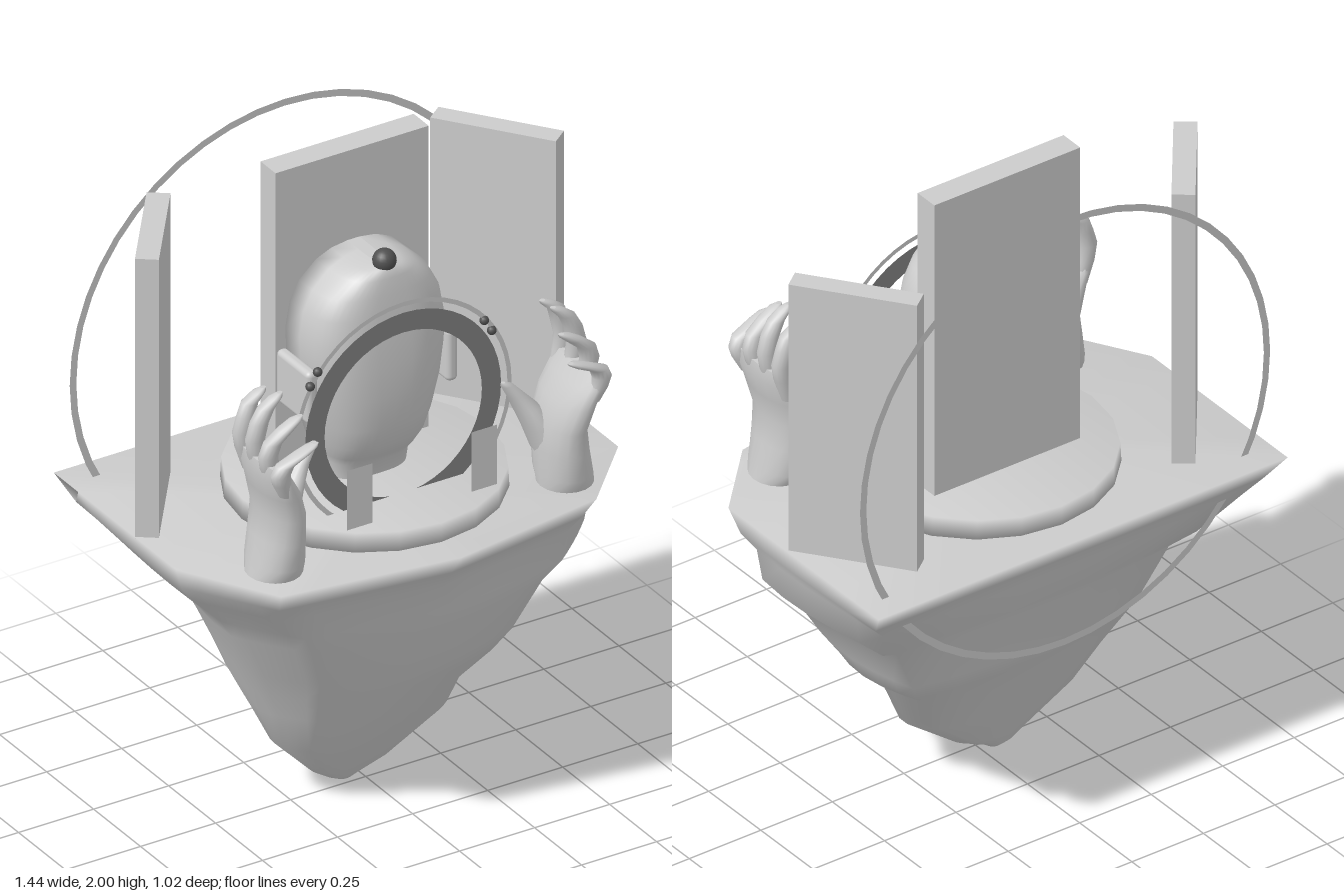
import * as THREE from 'three';
import { RoundedBoxGeometry } from 'three/addons/geometries/RoundedBoxGeometry.js';

const paint = color => new THREE.MeshStandardMaterial({ color, side: THREE.DoubleSide });
const grey = paint(0xcccccc), midGrey = paint(0x808080), dark = paint(0x505050);

// Skin over closed rings of [x, y, z] listed bottom to top; soft caps share the rim's normals
function loft(rings, soft = false) {
  const n = rings[0].length, pos = rings.flat(2), idx = [];
  for (let i = 0; i < rings.length - 1; i++) {
    for (let j = 0; j < n; j++) {
      const a = i * n + j, b = i * n + (j + 1) % n;
      idx.push(a, a + n, b, b, a + n, b + n);
    }
  }
  for (const top of [false, true]) {
    const last = top ? rings.length - 1 : 0, ring = rings[last];
    const base = soft ? last * n : pos.length / 3;
    if (!soft) pos.push(...ring.flat());
    const centre = pos.length / 3;
    pos.push(...[0, 1, 2].map(k => ring.reduce((s, p) => s + p[k], 0) / n));
    for (let j = 0; j < n; j++) {
      const a = base + j, b = base + (j + 1) % n;
      idx.push(centre, ...(top ? [b, a] : [a, b]));
    }
  }
  const g = new THREE.BufferGeometry();
  g.setAttribute('position', new THREE.Float32BufferAttribute(pos, 3));
  g.setIndex(idx);
  g.computeVertexNormals();
  return g;
}

// Horizontal ellipse
function oval(x, y, z, rx, rz, n = 14) {
  return Array.from({ length: n }, (_, j) => {
    const t = j / n * Math.PI * 2;
    return [x + rx * Math.cos(t), y, z + rz * Math.sin(t)];
  });
}

function rockGeometry() {
  const corners = [[0.71, -0.51], [0.71, 0.21], [0.5, 0.43], [0, 0.51], [-0.55, 0.43], [-0.72, 0.14], [-0.72, -0.51]];
  const outline = [];
  corners.forEach(([x, z], i) => {
    const [x2, z2] = corners[(i + 1) % corners.length];
    for (let k = 0; k < 5; k++) outline.push([(x + (x2 - x) * k / 5 + 0.005) / 0.715, (z + (z2 - z) * k / 5) / 0.51]);
  });
  // y, min x, max x, min z, max z, roundness
  const levels = [
    [0, -0.07, -0.03, -0.04, -0.02, 1], [0.02, -0.11, 0.0, -0.06, 0.0, 1], [0.06, -0.17, 0.09, -0.08, 0.03, 0.9],
    [0.19, -0.3, 0.26, -0.15, 0.12, 0.7], [0.33, -0.36, 0.32, -0.22, 0.2, 0.6], [0.42, -0.4, 0.43, -0.27, 0.25, 0.5],
    [0.5, -0.43, 0.48, -0.32, 0.3, 0.45], [0.66, -0.51, 0.56, -0.35, 0.365, 0.35], [0.72, -0.55, 0.64, -0.4, 0.385, 0.25],
    [0.82, -0.65, 0.65, -0.43, 0.41, 0.12], [0.88, -0.69, 0.69, -0.46, 0.45, 0.05], [0.96, -0.72, 0.71, -0.51, 0.51, 0]];
  return loft(levels.map(([y, x0, x1, z0, z1, round]) => outline.map(([u, v]) => {
    const len = Math.hypot(u, v), a = Math.atan2(v, u);
    const f = 1 + round * (1 / len - 1) + 0.03 * round * Math.sin(3 * a + y * 9);
    return [(x0 + x1) / 2 + u * f * (x1 - x0) / 2, y, (z0 + z1) / 2 + v * f * (z1 - z0) / 2];
  })), true);
}

function headGeometry() {
  // y, half width, front z
  const levels = [
    [1.02, 0.13, 0.07], [1.07, 0.133, 0.08], [1.1, 0.145, 0.105], [1.15, 0.163, 0.137], [1.22, 0.183, 0.155],
    [1.32, 0.208, 0.165], [1.42, 0.224, 0.165], [1.5, 0.227, 0.16], [1.58, 0.213, 0.153], [1.64, 0.181, 0.146],
    [1.69, 0.125, 0.138], [1.712, 0.075, 0.13], [1.72, 0.02, 0.12]];
  const back = -0.065;
  return loft(levels.map(([y, w, front]) => Array.from({ length: 25 }, (_, j) => {
    const t = j / 24 * Math.PI, c = Math.cos(t);
    return [w * Math.sign(c) * Math.abs(c) ** 0.7, y, back + (front - back) * Math.sin(t) ** 0.55];
  })));
}

function makeHand(side) {
  const hand = new THREE.Group();
  const part = (name, rows, n) => {
    const m = new THREE.Mesh(loft(rows.map(([x, y, z, rx, rz]) => oval(side * x, y, z, rx, rz, n))), grey);
    m.name = name;
    hand.add(m);
  };
  part('palm', [
    [0.485, 0.962, 0.285, 0.082, 0.088], [0.48, 1.0, 0.282, 0.078, 0.105], [0.472, 1.08, 0.28, 0.07, 0.112],
    [0.468, 1.16, 0.282, 0.06, 0.117], [0.49, 1.24, 0.29, 0.055, 0.125], [0.515, 1.3, 0.296, 0.043, 0.126],
    [0.527, 1.345, 0.297, 0.025, 0.115]], 18);
  part('thumb', [
    [0.45, 1.06, 0.25, 0.045, 0.07], [0.425, 1.14, 0.237, 0.047, 0.066], [0.39, 1.2, 0.227, 0.038, 0.048],
    [0.358, 1.245, 0.225, 0.027, 0.028], [0.328, 1.285, 0.227, 0.019, 0.018], [0.315, 1.297, 0.228, 0.006, 0.006]]);
  // Four fingers bowing outward, tips curling in: base z, tip z, tip height, tip x
  [[0.392, 0.412, 1.415, 0.42], [0.327, 0.345, 1.475, 0.43], [0.262, 0.27, 1.52, 0.45], [0.197, 0.197, 1.505, 0.46]]
    .forEach(([z0, z1, top, tip], i) => {
      const y0 = 1.26, row = (x, f, r) => [x, y0 + (top - y0) * f, z0 + (z1 - z0) * f, r * 1.1, r];
      part('finger' + (i + 1), [
        row(0.51, 0, 0.02), row(0.528, 0.3, 0.026), row(0.535, 0.5, 0.027), row(0.522, 0.7, 0.026),
        row(tip + 0.05, 0.86, 0.024), row(tip + 0.02, 0.96, 0.019), row(tip + 0.005, 1, 0.008)]);
    });
  return hand;
}

export function createModel() {
  const model = new THREE.Group();
  const add = (name, shape, x = 0, y = 0, z = 0, material = grey) => {
    const o = shape.isBufferGeometry ? new THREE.Mesh(shape, material) : shape;
    o.name = name;
    o.position.set(x, y, z);
    model.add(o);
    return o;
  };

  // Floating rock and round dais
  add('rock', rockGeometry());
  add('dais', loft([oval(0, 0.955, -0.005, 0.41, 0.41, 20), oval(0, 1.022, -0.005, 0.405, 0.41, 20)], true));

  // Upright slabs
  add('backSlab', new THREE.BoxGeometry(0.51, 1.04, 0.08), 0.005, 1.48, -0.12);
  add('rightSlab', new THREE.BoxGeometry(0.38, 0.91, 0.068), -0.578, 1.41, -0.21).rotation.y = 0.925;
  add('leftSlab', new THREE.BoxGeometry(0.38, 0.9, 0.065), 0.563, 1.405, -0.2).rotation.y = -0.925;

  // Faceless head with ear pieces and a bead on the brow
  add('head', headGeometry());
  for (const s of [-1, 1]) add('earPiece', new RoundedBoxGeometry(0.038, 0.17, 0.175, 3, 0.016), s * 0.233, 1.345, 0.008);
  add('browBead', new THREE.SphereGeometry(0.035, 20, 14), 0, 1.73, 0.1, dark);

  // Flat rings sharing one axis
  const ring = (name, inner, outer, z, material) => add(name, new THREE.RingGeometry(inner, outer, 48), 0, 1.28, z, material);
  ring('haloRing', 0.695, 0.717, -0.43, grey);
  ring('thinRing', 0.347, 0.361, 0.2, grey);
  ring('faceRing', 0.262, 0.326, 0.2, midGrey);
  for (const [x, y] of [[-0.31, 1.46], [-0.285, 1.5], [0.27, 1.5], [0.295, 1.46]]) {
    add('ringBead', new THREE.SphereGeometry(0.014, 12, 8), x, y, 0.2, dark);
  }

  // Small flat plates at the front of the dais
  for (const s of [-1, 1]) add('plate', new THREE.PlaneGeometry(0.085, 0.2), s * 0.208, 1.115, 0.3);

  // Raised hands
  add('leftHand', makeHand(1));
  add('rightHand', makeHand(-1));
  return model;
}
